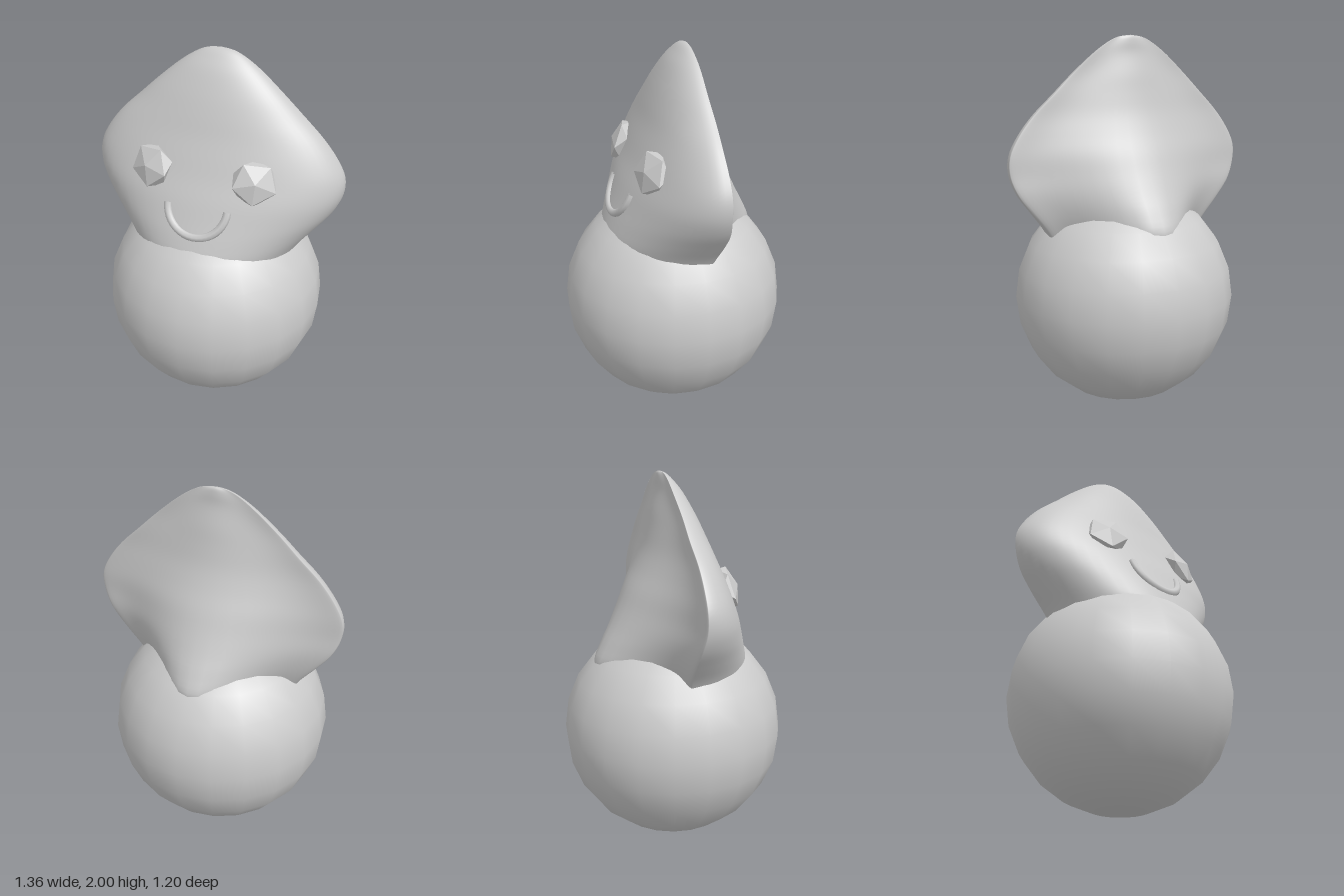
import * as THREE from 'three';

const grey = (options = {}) => new THREE.MeshStandardMaterial({ color: 0xcccccc, ...options });

function part(name, geometry, material) {
  const mesh = new THREE.Mesh(geometry, material);
  mesh.name = name;
  return mesh;
}

// Hood outline: [height, half width, rim z, front z, back z]
const sections = [
  [0.90, 0.42, -0.04, 0.38, -0.40],
  [1.00, 0.48, -0.06, 0.39, -0.44],
  [1.10, 0.56, -0.07, 0.36, -0.40],
  [1.20, 0.635, -0.07, 0.32, -0.345],
  [1.30, 0.675, -0.06, 0.28, -0.295],
  [1.40, 0.675, -0.06, 0.235, -0.25],
  [1.50, 0.625, -0.06, 0.195, -0.20],
  [1.60, 0.545, -0.06, 0.155, -0.16],
  [1.70, 0.44, -0.065, 0.12, -0.135],
  [1.80, 0.335, -0.065, 0.08, -0.115],
  [1.90, 0.22, -0.07, 0.03, -0.09],
  [1.96, 0.135, -0.07, -0.015, -0.085],
  [1.99, 0.07, -0.07, -0.045, -0.08],
  [2.00, 0.0, -0.07, -0.07, -0.07],
];

// Convex front, and a back that sinks in between the rounded rim and a central spine
function hoodGeometry(around = 56, rows = 52) {
  const sides = new THREE.CatmullRomCurve3(
    sections.map(([y, w, r]) => new THREE.Vector3(w, y, r)), false, 'catmullrom');
  const depths = new THREE.CatmullRomCurve3(
    sections.map(([y, , , f, b]) => new THREE.Vector3(f, y, b)), false, 'catmullrom');
  const positions = [], index = [];
  for (let j = 0; j <= rows; j++) {
    const { x: w, y, z: rim } = sides.getPoint(j / rows);
    const { x: front, z: back } = depths.getPoint(j / rows);
    for (let i = 0; i < around; i++) {
      const a = (i / around) * Math.PI * 2;
      const c = Math.cos(a);
      const z = c >= 0
        ? rim + (front - rim) * c
        : rim + (back - rim) * (0.85 * c ** 6 - 0.15 * c);
      positions.push(w * Math.sin(a), y, z);
      if (j < rows) {
        const p = j * around + i, q = j * around + (i + 1) % around;
        index.push(p, q, q + around, p, q + around, p + around);
      }
    }
  }
  const geometry = new THREE.BufferGeometry();
  geometry.setAttribute('position', new THREE.Float32BufferAttribute(positions, 3));
  geometry.setIndex(index);
  geometry.computeVertexNormals();
  return geometry;
}

export function createModel() {
  const model = new THREE.Group();
  model.name = 'hoodedFigure';

  // Round body
  const body = part('body', new THREE.SphereGeometry(0.6, 20, 12), grey());
  body.position.y = 0.6;
  model.add(body);

  // Pointed hood-shaped head
  model.add(part('head', hoodGeometry(), grey({ side: THREE.DoubleSide })));

  // Flattened faceted eyes with a corner facing forward, tilted to follow the face
  const eyeShape = new THREE.IcosahedronGeometry(0.128, 0).rotateX(0.5536).scale(1, 0.97, 0.45);
  for (const side of [-1, 1]) {
    const eye = part(side > 0 ? 'leftEye' : 'rightEye', eyeShape, grey({ flatShading: true }));
    eye.position.set(side * 0.275, 1.425, 0.2);
    eye.rotation.set(-0.35, side * 0.33, 0);
    model.add(eye);
  }

  // Smile, half sunk into the face
  const smile = new THREE.TorusGeometry(0.16, 0.022, 8, 20, Math.PI).rotateZ(Math.PI);
  const mouth = part('mouth', smile, grey({ side: THREE.DoubleSide }));
  mouth.position.set(0, 1.275, 0.275);
  mouth.rotation.x = -0.43;
  model.add(mouth);

  return model;
}
